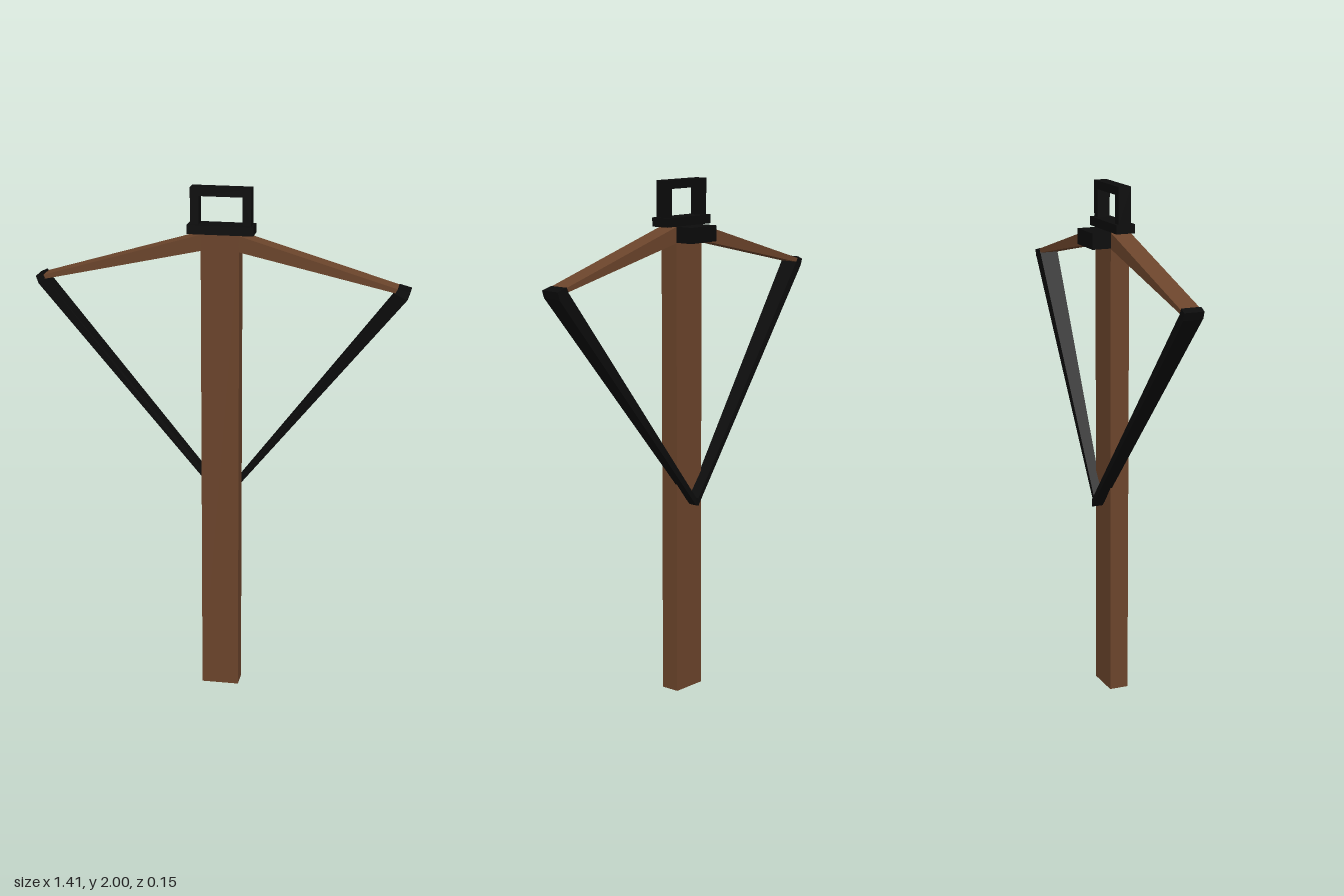
import * as THREE from 'three';
import { ConvexGeometry } from 'three/addons/geometries/ConvexGeometry.js';

const wood = new THREE.MeshStandardMaterial({ color: 0x6b442b, flatShading: true });
const black = new THREE.MeshStandardMaterial({ color: 0x0b0b0b, flatShading: true });
const DEPTH = 0.075;

export function createModel() {
  const model = new THREE.Group();
  model.name = 'crossbow';

  const add = (name, geometry, material) => {
    const mesh = new THREE.Mesh(geometry, material);
    mesh.name = name;
    model.add(mesh);
  };

  // Box given by its extents on each axis
  const box = (name, material, [x0, x1], [y0, y1], [z0, z1]) => {
    const g = new THREE.BoxGeometry(x1 - x0, y1 - y0, z1 - z0);
    g.translate((x0 + x1) / 2, (y0 + y1) / 2, (z0 + z1) / 2);
    add(name, g, material);
  };

  // Convex bar: every outline point [x, y, zBack, zFront] gives a back and a front corner
  const bar = (name, material, outline) => {
    const points = outline.flatMap(([x, y, z0, z1]) => [
      new THREE.Vector3(x, y, z0), new THREE.Vector3(x, y, z1)]);
    add(name, new ConvexGeometry(points), material);
  };

  // Stock with the block behind its head
  box('stock', wood, [-0.072, 0.072], [0, 1.828], [0, DEPTH]);
  box('rearBlock', black, [-0.072, 0.072], [1.768, 1.828], [-0.073, 0]);

  // Foot stirrup on its plate
  box('stirrupPlate', black, [-0.124, 0.124], [1.828, 1.862], [0, DEPTH]);
  const frame = new THREE.Shape([[-0.114, 1.862], [-0.082, 1.862], [-0.082, 1.968], [0.082, 1.968],
    [0.082, 1.862], [0.114, 1.862], [0.114, 2], [-0.114, 2]].map(p => new THREE.Vector2(...p)));
  const stirrup = new THREE.ExtrudeGeometry(frame, { depth: 0.05, bevelEnabled: false });
  stirrup.translate(0, 0, 0.0125);
  add('stirrup', stirrup, black);

  // Tapered limbs, tips and strings; the left string is a little thicker
  const sides = [
    { name: 'left', s: 1, inner: 0.648, bottomBack: -0.037 },
    { name: 'right', s: -1, inner: 0.668, bottomBack: -0.047 },
  ];
  for (const { name, s, inner, bottomBack } of sides) {
    bar(name + 'Limb', wood, [
      [s * 0.07, 1.828, 0, DEPTH], [s * 0.07, 1.767, 0, DEPTH],
      [s * 0.68, 1.632, 0, DEPTH], [s * 0.68, 1.648, 0, DEPTH]]);
    bar(name + 'LimbTip', black, [
      [s * inner, 1.636, -0.001, DEPTH + 0.001], [s * (inner + 0.01), 1.656, -0.001, DEPTH + 0.001],
      [s * 0.704, 1.644, -0.001, DEPTH + 0.001], [s * 0.694, 1.615, -0.001, DEPTH + 0.001]]);
    bar(name + 'String', black, [
      [s * inner, 1.636, 0, DEPTH], [s * 0.694, 1.615, 0, DEPTH],
      [0, 0.778, bottomBack, -0.002], [0, 0.748, bottomBack, -0.002]]);
  }
  return model;
}
